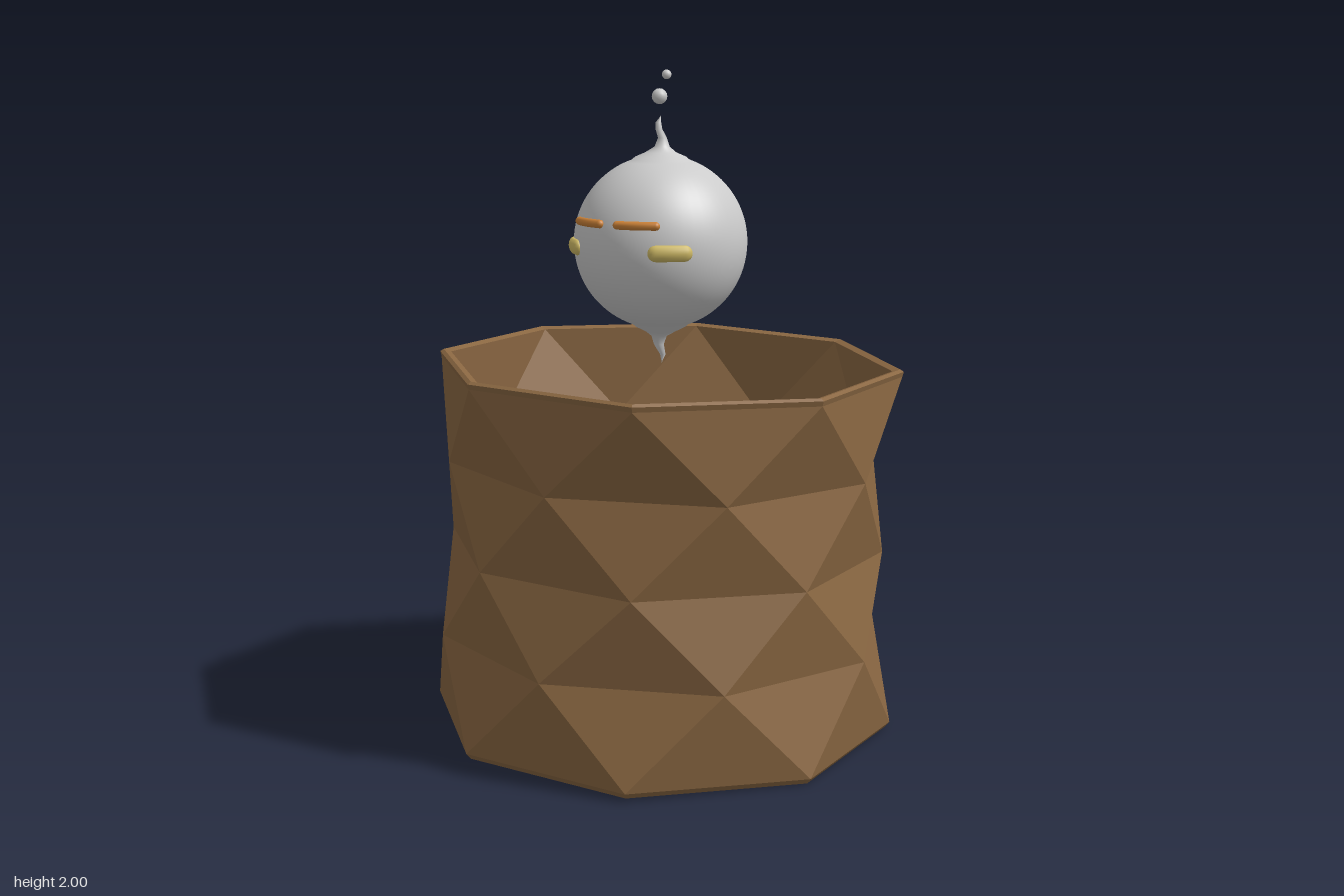
import * as THREE from 'three';

const mat = (name, color) => Object.assign(new THREE.MeshStandardMaterial({ color }), { name });

export function createModel() {
  const clay = mat('brown clay', 0x8a6742);
  clay.flatShading = true;
  const wood = mat('wick brown', 0x7a5230);
  const wax = mat('pale grey', 0xcbcbcb);
  const orange = mat('orange', 0xcc8238);
  const yellow = mat('yellow', 0xcfba66);

  const root = new THREE.Group();
  root.name = 'candlePot';
  const add = (parent, name, geo, material, x = 0, y = 0, z = 0) => {
    const m = new THREE.Mesh(geo, material);
    m.name = name;
    m.position.set(x, y, z);
    parent.add(m);
    return m;
  };

  // Slightly leaning pot with its wax and wick
  const pot = new THREE.Group();
  pot.name = 'pot';
  pot.position.set(-0.018, 0.018, 0);
  pot.rotation.z = -0.025;
  root.add(pot);

  // Faceted wall: [radius, height, half-step twist], from base, over the rim, to the floor
  const rings = [
    [0, 0, 0], [0.695, 0, 0], [0.71, 0.018, 0], [0.685, 0.295, 1], [0.665, 0.56, 0],
    [0.665, 0.83, 1], [0.702, 1.1, 0], [0.706, 1.115, 0], [0.695, 1.122, 0], [0.672, 1.115, 0],
    [0.63, 0.83, 1], [0.63, 0.56, 0], [0.645, 0.295, 1], [0.66, 0.04, 0], [0, 0.04, 0],
  ];
  const sides = 8, step = Math.PI / 4, start = 0.506;
  const corner = ([r, y, twist], i) => {
    const a = start + step * ((i % sides) + twist / 2);
    return [r * Math.sin(a), y, r * Math.cos(a)];
  };
  const pos = [];
  for (let k = 0; k < rings.length - 1; k++) {
    const lo = rings[k], hi = rings[k + 1];
    for (let i = 0; i < sides; i++) {
      const a = corner(lo, i), b = corner(lo, i + 1), c = corner(hi, i + 1), d = corner(hi, i);
      if (hi[2] > lo[2]) pos.push(...a, ...b, ...d, ...b, ...c, ...d);
      else pos.push(...a, ...b, ...c, ...a, ...c, ...d);
    }
  }
  const potGeo = new THREE.BufferGeometry();
  potGeo.setAttribute('position', new THREE.Float32BufferAttribute(pos, 3));
  potGeo.computeVertexNormals();
  add(pot, 'potWall', potGeo, clay);

  // Round wax block with a softly shaded top
  const waxProfile = [[0, 0.05], [0.525, 0.05], [0.525, 0.69], [0, 0.7]];
  add(pot, 'wax', new THREE.LatheGeometry(waxProfile.map(p => new THREE.Vector2(...p)), 64), wax, -0.012, 0, 0.03);
  add(pot, 'wick', new THREE.CylinderGeometry(0.011, 0.011, 0.27, 10), wood, 0.02, 0.81, 0.06);

  // Floating round flame with a drawn-out tip at each end
  const flame = new THREE.Group();
  flame.name = 'flame';
  flame.position.set(0.03, 1.5, 0.065);
  root.add(flame);
  const R = 0.256;
  const profile = [[0, -0.36], [0.008, -0.335], [0.015, -0.305], [0.023, -0.28], [0.045, -0.265], [0.075, -0.25]];
  for (let i = -17; i <= 17; i++) {
    const a = i * 0.0725;
    profile.push([R * Math.cos(a), R * Math.sin(a)]);
  }
  profile.push([0.075, 0.25], [0.045, 0.263], [0.022, 0.28], [0.013, 0.305], [0.01, 0.33], [0.008, 0.35], [0, 0.37]);
  const body = new THREE.LatheGeometry(profile.map(p => new THREE.Vector2(...p)), 48);
  const bp = body.attributes.position;
  for (let i = 0; i < bp.count; i++) {
    const over = Math.abs(bp.getY(i)) - 0.27; // wavy tips
    if (over > 0) bp.setX(i, bp.getX(i) + 0.009 * Math.sin(over * 65) * Math.sign(bp.getY(i)));
  }
  add(flame, 'flameBody', body, wax);

  // Small drops rising off the tip
  add(flame, 'largeDrop', new THREE.SphereGeometry(0.023, 12, 8), wax, 0, 0.425, 0.005);
  add(flame, 'smallDrop', new THREE.SphereGeometry(0.014, 12, 8), wax, 0.026, 0.488, 0.005);

  // Capsule bent round the flame: centre angle, arc length, height and depth
  const bentBar = (angle, length, h, depth, radius, y) => {
    const g = new THREE.CapsuleGeometry(h / 2, length - h, 6, 12, 12);
    g.rotateZ(Math.PI / 2);
    g.scale(1, 1, depth / h);
    const p = g.attributes.position;
    for (let i = 0; i < p.count; i++) {
      const a = angle + p.getX(i) / radius, r = radius + p.getZ(i);
      p.setXYZ(i, r * Math.sin(a), y + p.getY(i), r * Math.cos(a));
    }
    g.computeVertexNormals();
    return g;
  };
  for (const [side, s] of [['left', 1], ['right', -1]]) {
    add(flame, side + 'Brow', bentBar(s * 0.36, 0.14, 0.025, 0.025, 0.248, 0.07), orange);
    add(flame, side + 'Eye', bentBar(s * 0.755, 0.13, 0.047, 0.03, 0.256, -0.007), yellow);
  }
  return root;
}
